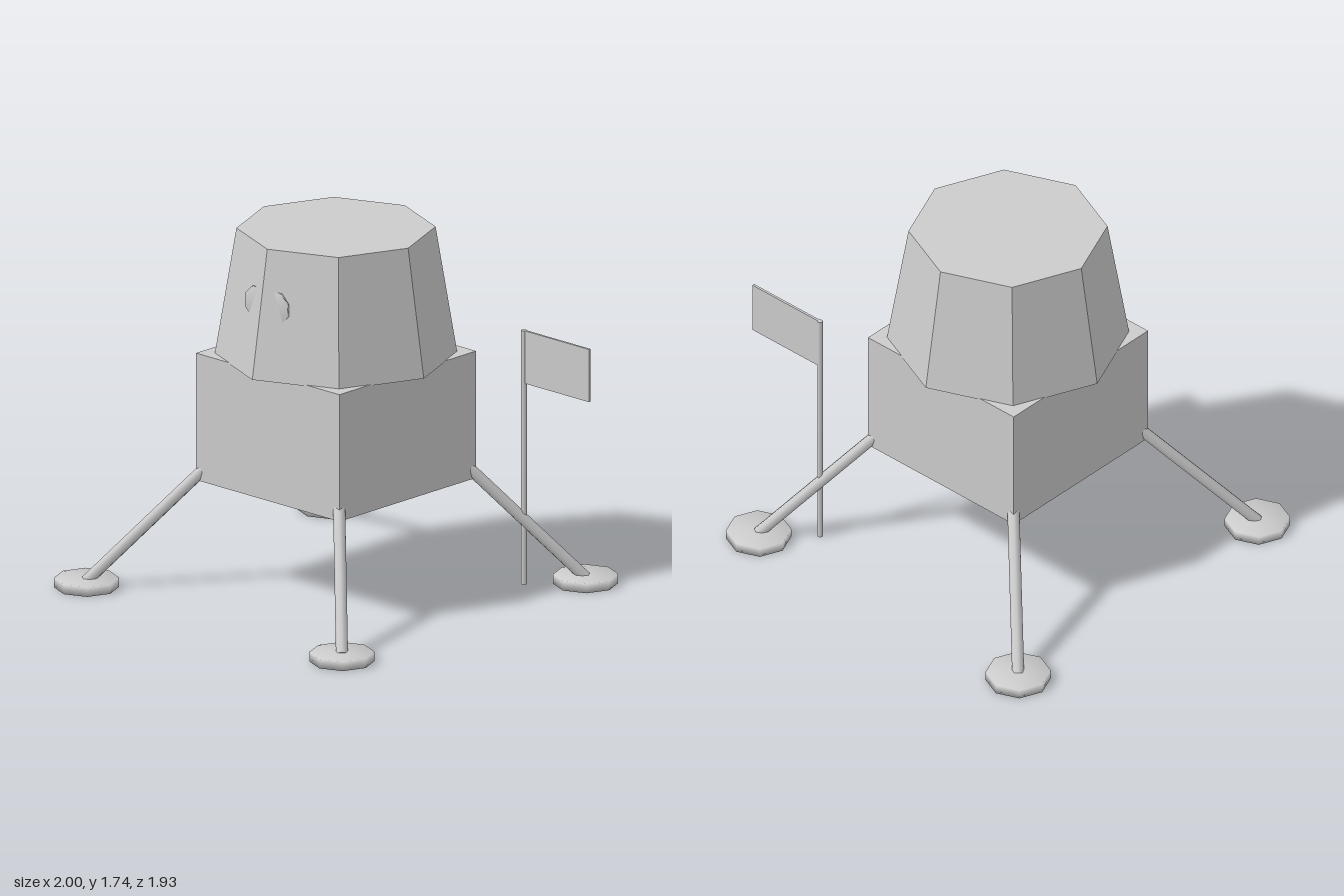
import * as THREE from 'three';
import { mergeVertices } from 'three/addons/utils/BufferGeometryUtils.js';

export function createModel() {
  const model = new THREE.Group();
  model.name = 'moonLander';
  const flat = new THREE.MeshStandardMaterial({ color: 0xcccccc, flatShading: true });
  const smooth = new THREE.MeshStandardMaterial({ color: 0xcccccc });

  const add = (parent, name, geometry, material, x = 0, y = 0, z = 0) => {
    const mesh = new THREE.Mesh(geometry, material);
    mesh.name = name;
    mesh.position.set(x, y, z);
    parent.add(mesh);
    return mesh;
  };

  // Eight-sided disc whose normals are averaged over rim and caps
  const softDisc = (radius, height) => {
    const g = new THREE.CylinderGeometry(radius, radius, height, 8);
    g.deleteAttribute('normal');
    g.deleteAttribute('uv');
    const merged = mergeVertices(g);
    merged.computeVertexNormals();
    return merged;
  };

  // The craft sits slightly to the right of the origin because of the flag
  const lander = new THREE.Group();
  lander.name = 'lander';
  lander.position.x = -0.035;
  model.add(lander);

  // Descent stage and tapered octagonal cabin
  add(lander, 'descentStage', new THREE.BoxGeometry(0.915, 0.615, 0.915), flat, 0, 0.8225, 0);
  add(lander, 'cabin', new THREE.CylinderGeometry(0.46, 0.56, 0.61, 8), flat, 0, 1.43, 0);

  // Windows half sunk in the two front facets
  for (const side of [-1, 1]) {
    const pane = add(lander, side > 0 ? 'windowLeft' : 'windowRight',
      softDisc(0.08, 0.014), smooth, side * 0.06, 1.465, 0.463);
    pane.rotation.set(Math.PI / 2, Math.PI / 8, 0);
  }

  // Four splayed legs with foot pads
  const up = new THREE.Vector3(0, 1, 0);
  for (const sx of [-1, 1]) {
    for (const sz of [-1, 1]) {
      const leg = new THREE.Group();
      leg.name = (sz > 0 ? 'front' : 'back') + (sx > 0 ? 'Left' : 'Right') + 'Leg';
      lander.add(leg);
      const foot = new THREE.Vector3(sx * 0.815, 0.03, sz * 0.815);
      const hip = new THREE.Vector3(sx * 0.43, 0.57, sz * 0.43);
      const span = hip.clone().sub(foot);
      const mid = hip.clone().add(foot).multiplyScalar(0.5);
      const strut = add(leg, 'strut',
        new THREE.CylinderGeometry(0.028, 0.028, span.length(), 8), smooth, mid.x, mid.y, mid.z);
      strut.quaternion.setFromUnitVectors(up, span.normalize());
      add(leg, 'footPad', softDisc(0.151, 0.045), smooth, foot.x, 0.0225, foot.z);
    }
  }

  // Flag beside the back left leg
  const flag = new THREE.Group();
  flag.name = 'flag';
  flag.position.set(0.58, 0, -0.613);
  model.add(flag);
  add(flag, 'pole', new THREE.CylinderGeometry(0.013, 0.013, 1.23, 8), smooth, 0, 0.615, 0);
  add(flag, 'banner', new THREE.BoxGeometry(0.42, 0.255, 0.012), flat, 0.21, 1.1025, 0);

  return model;
}
